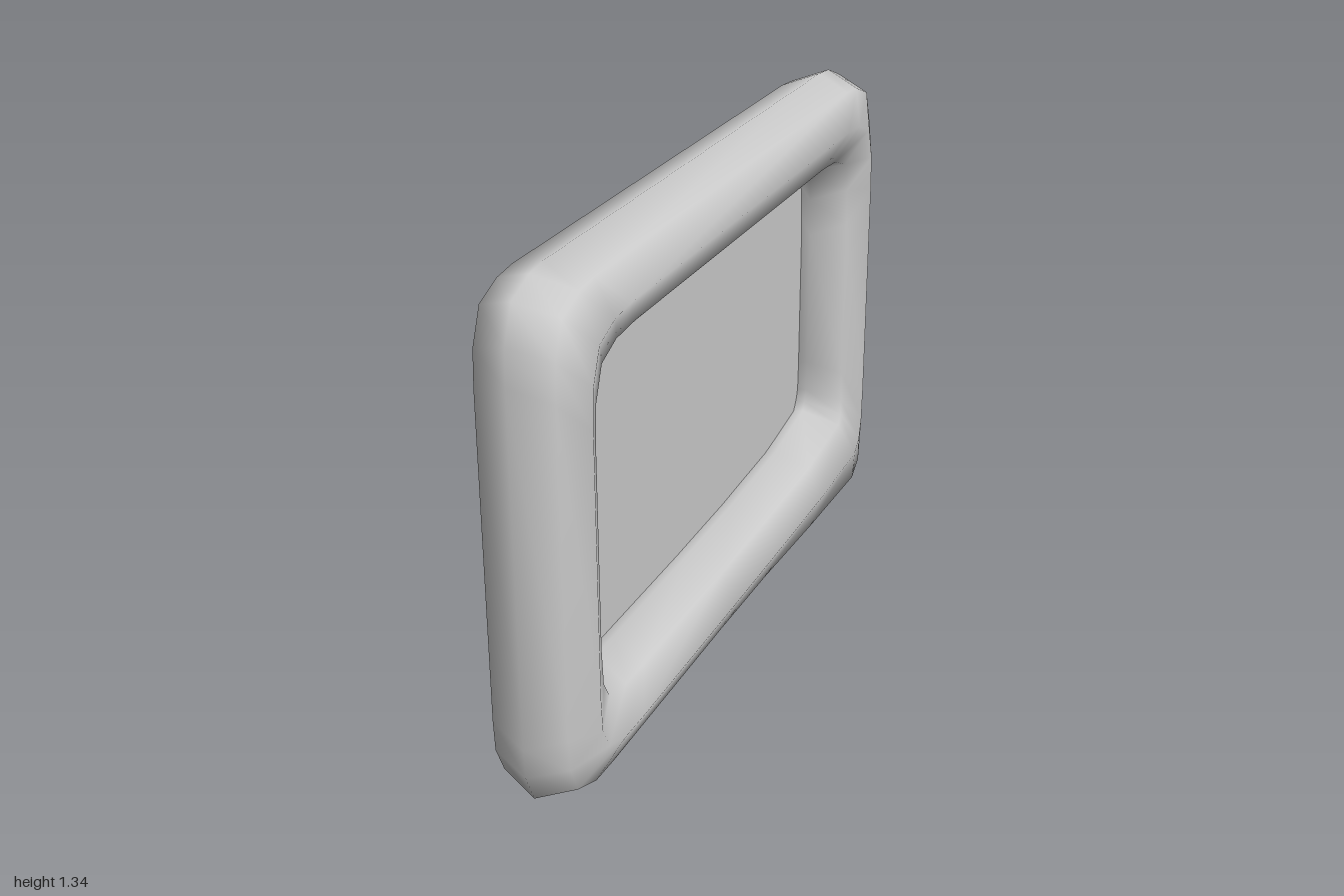
import * as THREE from 'three';

// Stations round the frame: [outer z, outer y, inner z, inner y, fullness of the diagonals]
const STATIONS = [
  // top front corner
  [0.82, 1.338, 0.55, 1.097, 1], [0.88, 1.33, 0.65, 1.09, 1], [0.96, 1.297, 0.72, 1.06, 1],
  [0.995, 1.21, 0.75, 0.98, 1], [1, 1.12, 0.757, 0.87, 1],
  // bottom front corner
  [1, 0.22, 0.757, 0.42, 1], [0.995, 0.14, 0.75, 0.32, 1], [0.96, 0.06, 0.725, 0.28, 1],
  [0.87, 0.022, 0.64, 0.262, 1], [0.78, 0.018, 0.54, 0.26, 1],
  // bottom rail, swelling toward the back
  [0.1, 0.018, 0.1, 0.26, 1], [-0.2, 0.017, -0.2, 0.265, 1.02], [-0.55, 0.01, -0.51, 0.28, 1.07],
  // bottom back corner
  [-0.92, 0.003, -0.73, 0.32, 1.1], [-0.975, 0.045, -0.745, 0.345, 1.1],
  [-0.995, 0.14, -0.755, 0.38, 1.04], [-1, 0.24, -0.757, 0.47, 1],
  // top back corner
  [-1, 1.12, -0.757, 0.87, 1], [-0.997, 1.2, -0.75, 0.98, 1], [-0.96, 1.297, -0.73, 1.06, 1],
  [-0.87, 1.332, -0.65, 1.09, 1], [-0.8, 1.338, -0.55, 1.097, 1],
];
const SIDES = 8;
const HALF_WIDTH = 0.138;
const PANE_X = -0.031;

// Closed loop of eight-sided cross-sections
function frameGeometry() {
  const positions = [];
  const index = [];
  const n = STATIONS.length;
  STATIONS.forEach(([oz, oy, iz, iy, fullness], i) => {
    for (let k = 0; k < SIDES; k++) {
      const a = (k / SIDES) * Math.PI * 2;
      const f = k % 2 ? fullness : 1;
      const t = (1 + f * Math.cos(a)) / 2;
      positions.push(HALF_WIDTH * f * Math.sin(a), iy + (oy - iy) * t, iz + (oz - iz) * t);
      const next = ((i + 1) % n) * SIDES;
      const k2 = (k + 1) % SIDES;
      const p = i * SIDES + k, q = next + k, r = next + k2, s = i * SIDES + k2;
      index.push(p, q, r, p, r, s);
    }
  });
  const geometry = new THREE.BufferGeometry();
  geometry.setAttribute('position', new THREE.Float32BufferAttribute(positions, 3));
  geometry.setIndex(index);
  geometry.computeVertexNormals();
  return geometry;
}

// Flat pane filling the opening, its edge tucked into the frame
function paneGeometry() {
  const outline = STATIONS.map(([oz, oy, iz, iy]) =>
    new THREE.Vector2(-(iz + (oz - iz) * 0.1), iy + (oy - iy) * 0.1));
  return new THREE.ShapeGeometry(new THREE.Shape(outline)).rotateY(Math.PI / 2);
}

export function createModel() {
  const group = new THREE.Group();
  const frame = new THREE.Mesh(frameGeometry(),
    new THREE.MeshStandardMaterial({ color: 0xcccccc }));
  frame.name = 'frame';
  const pane = new THREE.Mesh(paneGeometry(),
    new THREE.MeshStandardMaterial({ color: 0xcccccc, side: THREE.DoubleSide }));
  pane.name = 'pane';
  pane.position.x = PANE_X;
  group.add(frame, pane);
  return group;
}
